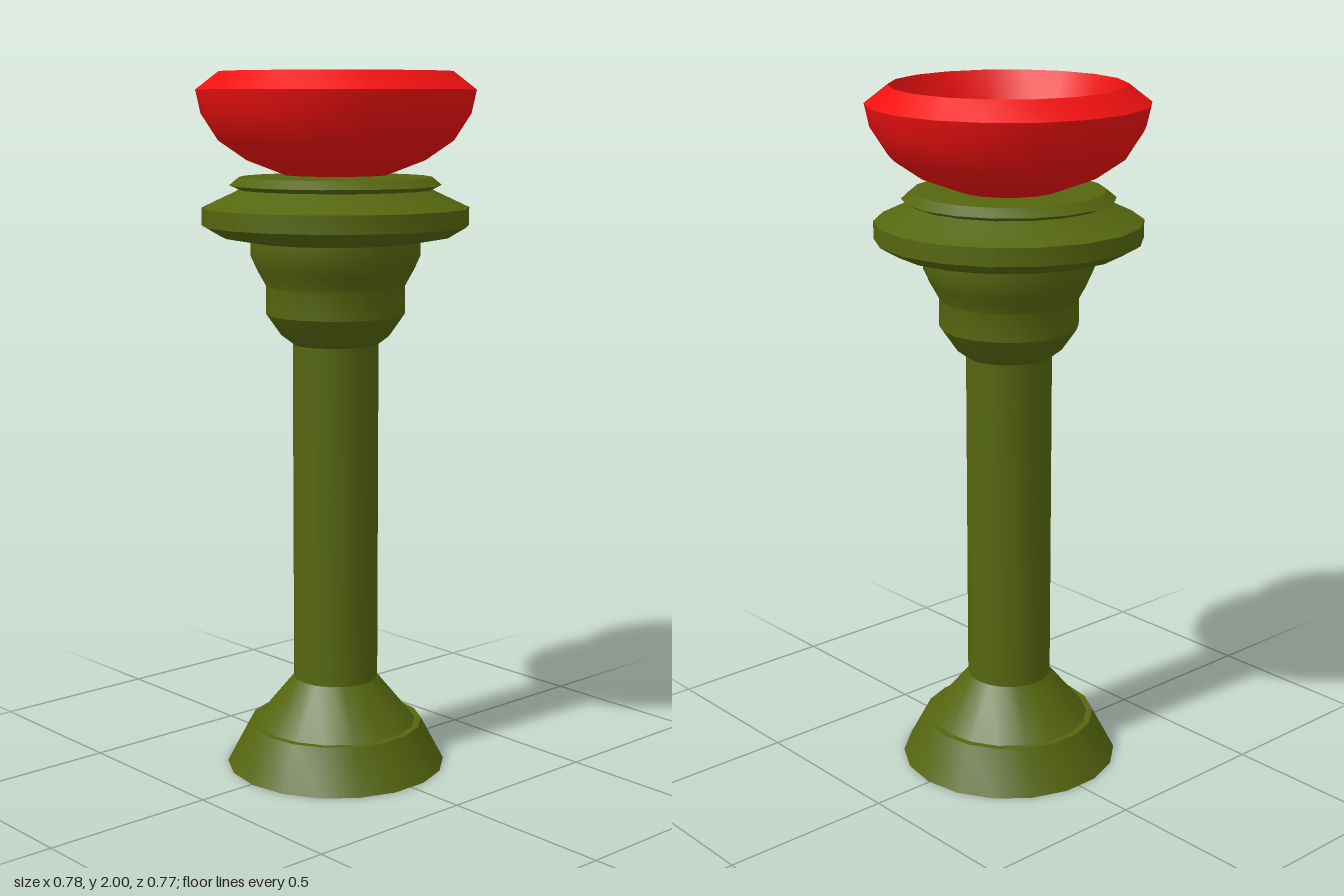
import * as THREE from 'three';
import { toCreasedNormals } from 'three/addons/utils/BufferGeometryUtils.js';

const SIDES = 18;

// Turned part from [radius, height] pairs, listed from the underside outwards and up
function turned(name, profile, color) {
  const points = profile.map(([r, y]) => new THREE.Vector2(r, y));
  const lathe = new THREE.LatheGeometry(points, SIDES, Math.PI / 2);
  const mesh = new THREE.Mesh(
    toCreasedNormals(lathe, 0.6),
    new THREE.MeshStandardMaterial({ color })
  );
  mesh.name = name;
  return mesh;
}

export function createModel() {
  const model = new THREE.Group();
  model.name = 'pedestalBowl';
  const olive = 0x55660f;
  const red = 0xf01010;

  // Column stands very slightly off the bowl's axis
  const pedestal = new THREE.Group();
  pedestal.name = 'pedestal';
  pedestal.position.set(-0.007, 0, 0.005);
  pedestal.add(
    // Foot, shaft, stepped collar and moulded capital in one closed profile
    turned('column', [
      [0, 0], [0.318, 0], [0.252, 0.125], [0.233, 0.125], [0.122, 0.26],
      [0.122, 1.24], [0.155, 1.265], [0.197, 1.325], [0.197, 1.405],
      [0.222, 1.45], [0.24, 1.49], [0.24, 1.53],
      [0.325, 1.545], [0.376, 1.575], [0.376, 1.625], [0.28, 1.67],
      [0.272, 1.675], [0.298, 1.687], [0.27, 1.71], [0, 1.71],
    ], olive)
  );
  model.add(pedestal);

  // Bowl: rounded outside, bevelled rim, tapered wall and flat floor
  model.add(
    turned('bowl', [
      [0, 1.715], [0.145, 1.715], [0.25, 1.755], [0.33, 1.81], [0.378, 1.885],
      [0.392, 1.95], [0.327, 2], [0.263, 1.835], [0, 1.835],
    ], red)
  );
  return model;
}
